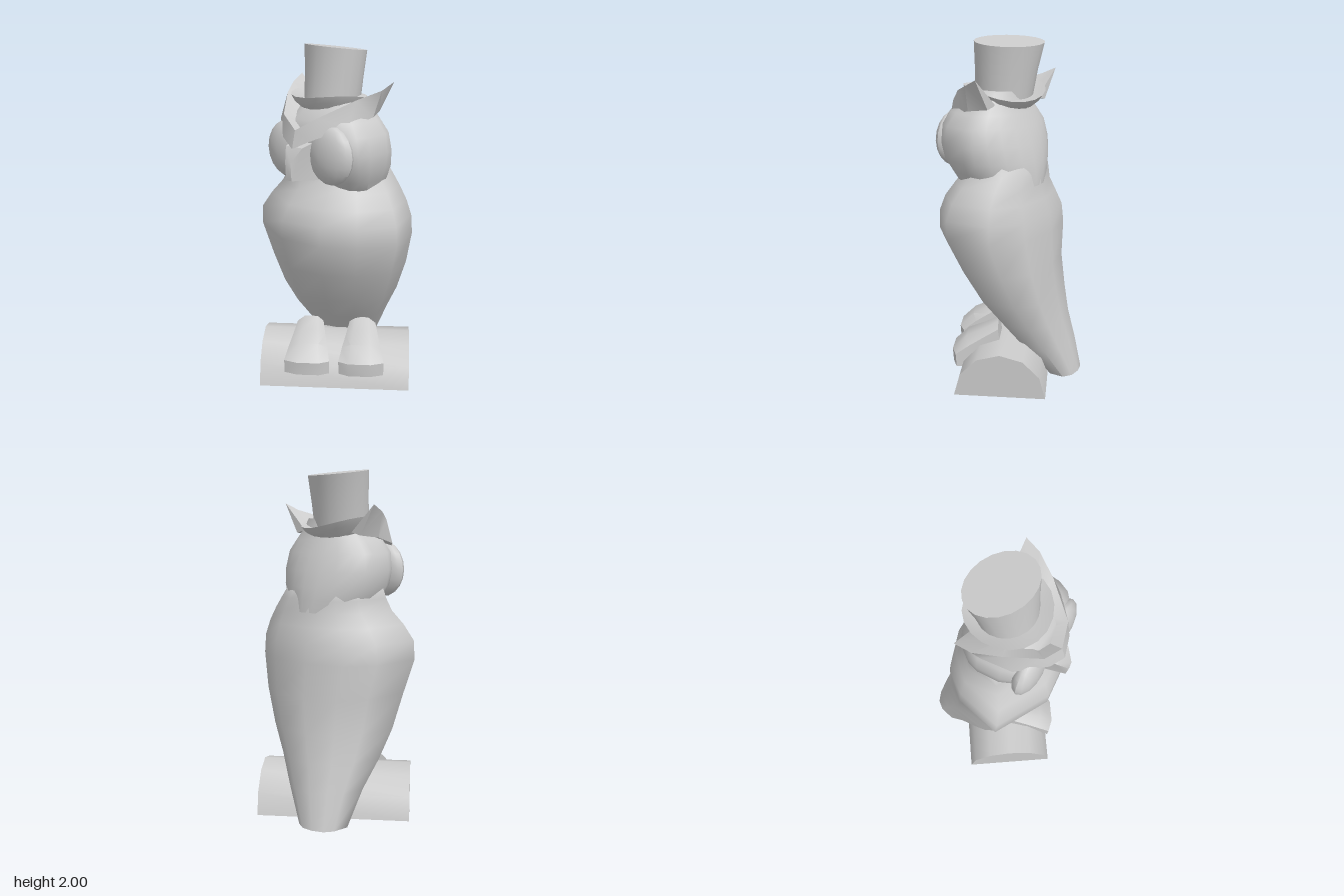
import * as THREE from 'three';
import { toCreasedNormals } from 'three/addons/utils/BufferGeometryUtils.js';

const material = new THREE.MeshStandardMaterial({ color: 0xcccccc });
const shellMaterial = new THREE.MeshStandardMaterial({ color: 0xcccccc, side: THREE.DoubleSide });

function addMesh(parent, name, geometry, crease = 0.7) {
  const mesh = new THREE.Mesh(toCreasedNormals(geometry, crease), material);
  mesh.name = name;
  parent.add(mesh);
  return mesh;
}

// Skin over a list of equal-length rings of [x, y, z], with both ends closed.
function loft(rings) {
  const n = rings[0].length;
  const index = [];
  for (let i = 0; i < rings.length - 1; i++) {
    for (let j = 0; j < n; j++) {
      const a = i * n + j, b = i * n + (j + 1) % n;
      index.push(a, a + n, b, b, a + n, b + n);
    }
  }
  const last = (rings.length - 1) * n;
  for (let j = 1; j < n - 1; j++) {
    index.push(0, j, j + 1, last, last + j + 1, last + j);
  }
  const geometry = new THREE.BufferGeometry();
  geometry.setAttribute('position', new THREE.Float32BufferAttribute(rings.flat(2), 3));
  geometry.setIndex(index);
  geometry.computeVertexNormals();
  return geometry;
}

// Ring of n points around the y axis; rule(cos, sin) gives each point.
const ring = (n, rule) => Array.from({ length: n }, (_, i) => {
  const a = (i / n) * Math.PI * 2;
  return rule(Math.cos(a), Math.sin(a));
});

// Torso and tail: one cross-section fitted to the extents at each height.
function buildBody(parent) {
  const section = [[0.355, 0.08], [0.33, 0.29], [0.12, 0.445], [-0.1, 0.385], [-0.26, 0.25],
    [-0.375, 0.02], [-0.33, -0.33], [-0.05, -0.375], [0.13, -0.31], [0.27, -0.14]];
  // y, x min, x max, z min, z max
  const levels = [
    [0, 0.12, 0.36, -0.385, -0.15], [0.2, 0, 0.36, -0.37, 0.01], [0.36, -0.13, 0.358, -0.355, 0.13],
    [0.52, -0.23, 0.367, -0.35, 0.25], [0.72, -0.315, 0.372, -0.345, 0.36], [0.92, -0.375, 0.363, -0.378, 0.45],
    [1.03, -0.375, 0.355, -0.365, 0.445], [1.12, -0.33, 0.33, -0.315, 0.41], [1.2, -0.27, 0.305, -0.265, 0.35],
    [1.27, -0.235, 0.285, -0.25, 0.285], [1.36, -0.2, 0.24, -0.24, 0.24]];
  addMesh(parent, 'body', loft(levels.map(([y, x0, x1, z0, z1]) => section.map(([x, z]) => [
    THREE.MathUtils.mapLinear(x, -0.375, 0.355, x0, x1), y,
    THREE.MathUtils.mapLinear(z, -0.375, 0.445, z0, z1)]))), 1.5);
}

function buildHead(parent) {
  const head = new THREE.Group();
  head.name = 'head';
  head.rotation.y = -1.228;
  parent.add(head);

  // Skull with a broad face: y, half width, back, front
  const levels = [[1.2, 0.25, -0.26, 0.17], [1.27, 0.285, -0.255, 0.21], [1.34, 0.315, -0.243, 0.26],
    [1.43, 0.325, -0.22, 0.285], [1.53, 0.31, -0.183, 0.285], [1.6, 0.255, -0.15, 0.26],
    [1.66, 0.2, -0.125, 0.2], [1.72, 0.16, -0.11, 0.13]];
  addMesh(head, 'skull', loft(levels.map(([y, w, back, front]) => ring(20, (c, s) => {
    const square = s > 0 ? 0.62 : 1.08;
    return [0.038 + w * Math.sign(c) * Math.abs(c) ** square, y,
      (s > 0 ? front : -back) * Math.sign(s) * Math.abs(s) ** square];
  }))), 1.1);

  // Brow that rises from above the beak to a pointed ear: lower, top and inner edge
  const brow = [
    [[0, 1.46, 0.375], [0, 1.56, 0.35], [0, 1.5, 0.15]],
    [[0.1, 1.51, 0.34], [0.12, 1.63, 0.31], [0.08, 1.6, 0.15]],
    [[0.25, 1.58, 0.2], [0.25, 1.72, 0.14], [0.13, 1.66, 0.1]],
    [[0.285, 1.62, 0.03], [0.325, 1.765, 0.01], [0.17, 1.65, 0]],
    [[0.245, 1.635, -0.08], [0.34, 1.805, -0.08], [0.18, 1.65, -0.08]]];
  for (const side of [1, -1]) {
    const label = side > 0 ? 'left' : 'right';
    addMesh(head, label + 'Brow', loft(brow)).scale.x = side;
    // Rounded eye disc set into the face
    const disc = new THREE.SphereGeometry(1, 14, 10).scale(0.15, 0.165, 0.07);
    addMesh(head, label + 'EyeDisc', disc).position.set(side * 0.155 + 0.01, 1.425, 0.245);
  }

  // Hooked beak, narrower at the tip: z, y and half width
  const beak = [[0.22, 1.27, 0.07], [0.22, 1.5, 0.07], [0.36, 1.47, 0.06], [0.41, 1.39, 0.02], [0.405, 1.29, 0.02]];
  addMesh(head, 'beak', loft([-1, 1].map((side) => beak.map(([z, y, w]) => [side * w, y, z]).reverse())));
}

// Top hat: curled brim and flared crown, tipped back a little
function buildHat(parent) {
  const hat = new THREE.Group();
  hat.name = 'hat';
  hat.position.set(-0.03, 1.685, 0);
  hat.rotation.z = -0.11;
  parent.add(hat);
  // y, x radius, z radius, curl
  const brim = [[-0.06, 0.16, 0.16, 0], [-0.02, 0.215, 0.215, 0.03], [0.01, 0.235, 0.235, 0.04], [0, 0.15, 0.15, 0]];
  addMesh(hat, 'brim', loft(brim.map(([y, rx, rz, curl]) =>
    ring(20, (c, s) => [rx * c, y + curl * s * s, rz * s]))));
  const crown = [[-0.02, 0.156, 0.165, 0], [0.15, 0.158, 0.185, -0.008], [0.295, 0.164, 0.208, -0.018]];
  addMesh(hat, 'crown', loft(crown.map(([y, rx, rz, z]) => ring(20, (c, s) => [rx * c, y, z + rz * s]))));
}

function buildPerch(parent) {
  const perch = new THREE.Group();
  perch.name = 'perch';
  perch.rotation.y = -0.595;
  parent.add(perch);

  // Half log, a shell open underneath
  const arch = new THREE.CylinderGeometry(0.265, 0.265, 0.89, 6, 1, false, 0, Math.PI).rotateZ(Math.PI / 2);
  addMesh(perch, 'log', arch).material = shellMaterial;

  // Feet draped over the front of the log, narrowing to the rear: y and z of the side profile
  const profile = [[0.1, 0.235], [0.1, 0.285], [0.18, 0.29], [0.265, 0.21], [0.31, 0.12], [0.36, 0.03],
    [0.25, 0.02], [0.23, 0.11], [0.18, 0.18]];
  // Offset across the foot, forward reach, drop of the upper side
  const slices = [[-0.13, 0.95, 0.03], [-0.07, 1.05, 0], [0.06, 1.05, 0], [0.135, 0.95, 0.035]];
  const foot = slices.map(([offset, reach, drop]) => profile.map(([y, z]) => [
    0.158 + offset * THREE.MathUtils.mapLinear(z, 0, 0.285, 0.55, 1),
    y - (y > 0.26 ? drop : 0), z > 0.2 ? z * reach : z]));
  for (const side of [1, -1]) {
    addMesh(perch, side > 0 ? 'leftFoot' : 'rightFoot', loft(foot)).scale.x = side;
  }
}

export function createModel() {
  const model = new THREE.Group();
  model.name = 'owlInTopHat';
  buildBody(model);
  buildHead(model);
  buildHat(model);
  buildPerch(model);
  return model;
}
